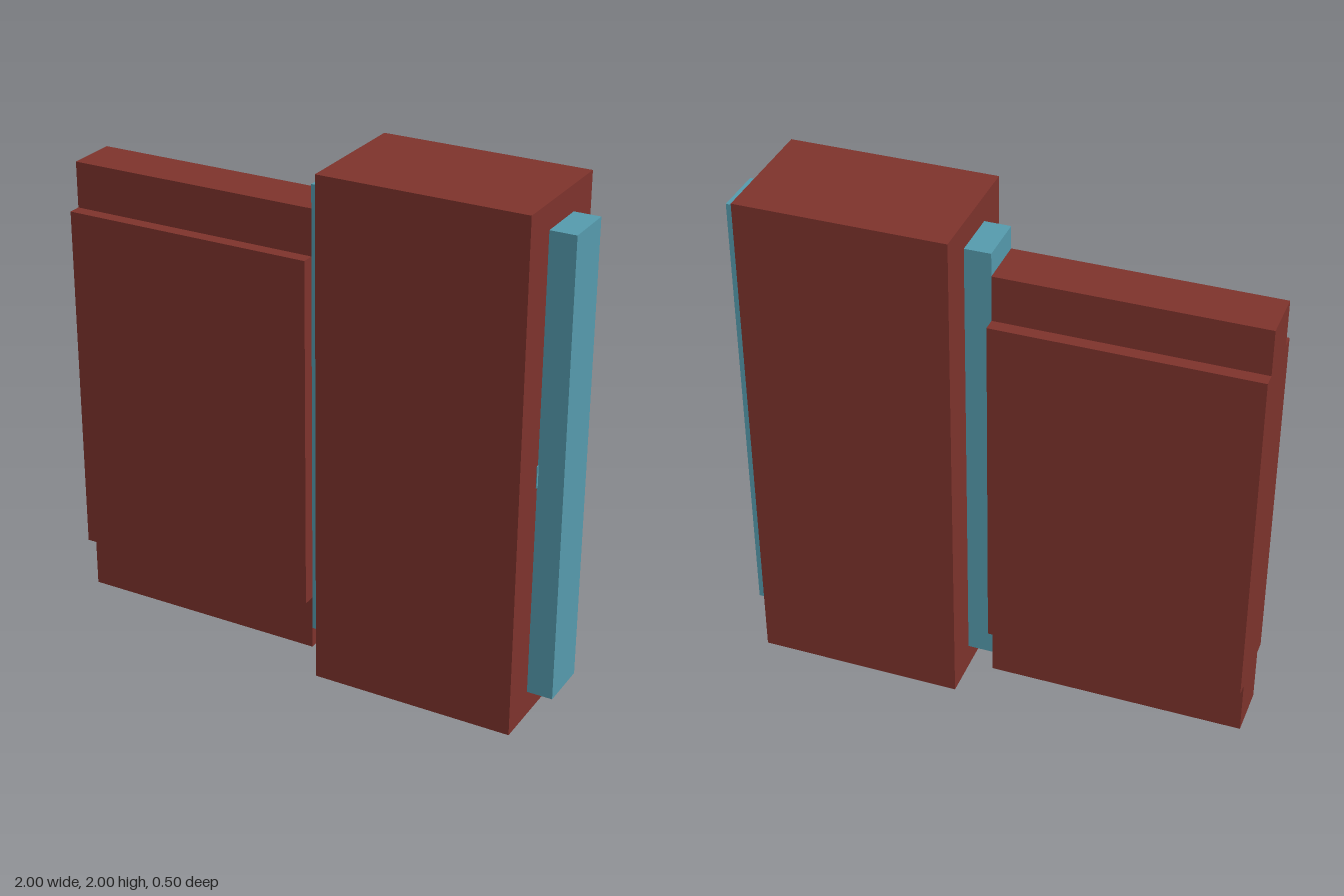
import * as THREE from 'three';

export function createModel() {
  const model = new THREE.Group();
  const red = new THREE.MeshStandardMaterial({ color: 0x80342d });
  red.name = 'brick red';
  const blue = new THREE.MeshStandardMaterial({ color: 0x579db0 });
  blue.name = 'dusty blue';

  // Box given by its x and y extents and its depth, centred on z = 0
  function block(name, material, x0, x1, y0, y1, depth) {
    const mesh = new THREE.Mesh(new THREE.BoxGeometry(x1 - x0, y1 - y0, depth), material);
    mesh.position.set((x0 + x1) / 2, (y0 + y1) / 2, 0);
    mesh.name = name;
    model.add(mesh);
  }

  // Large upright body with a blue core showing on both sides
  block('body', red, 0.1, 0.9, 0, 2, 0.5);
  block('innerCore', blue, 0, 0.1, 0.1, 1.9, 0.2);
  block('outerCore', blue, 0.9, 1, 0.1, 1.9, 0.2);

  // Small clasp just proud of the body's outer side
  block('sideClasp', blue, 0.9, 0.903, 0.945, 1.03, 0.22);

  // Wide side slab: a thicker middle between thin top and bottom rails
  block('slabMiddle', red, -1, 0, 0.235, 1.63, 0.3);
  block('slabTopRail', red, -1, 0, 1.63, 1.81, 0.2);
  block('slabBottomRail', red, -1, 0, 0.015, 0.235, 0.2);

  return model;
}
